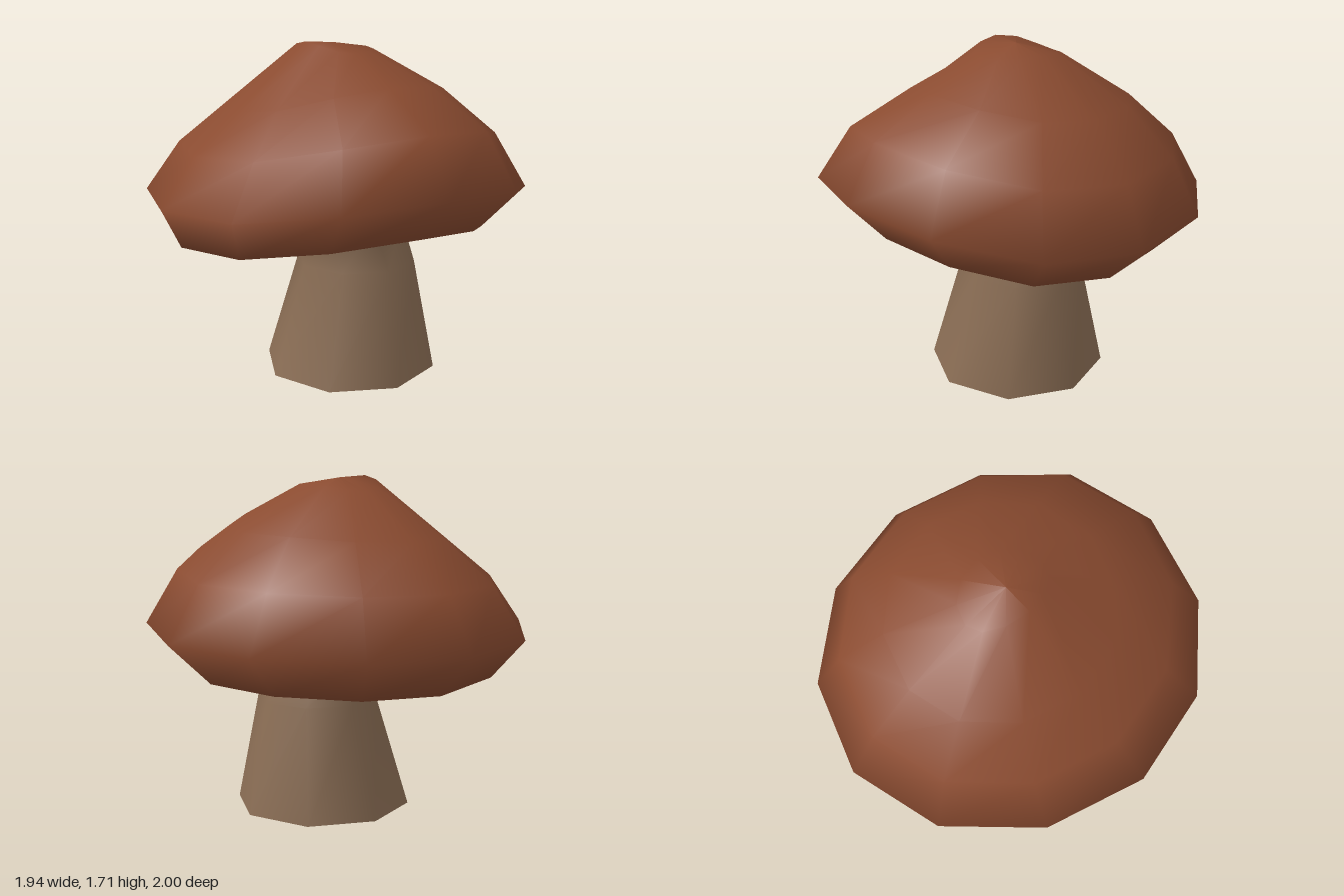
import * as THREE from 'three';

const capMat = new THREE.MeshStandardMaterial({ name: 'russet cap', color: 0x8a4b30 });
const gillMat = new THREE.MeshStandardMaterial({ name: 'grey brown gills', color: 0x7d6c59 });
const stemMat = new THREE.MeshStandardMaterial({ name: 'tan stem', color: 0x8a6d54, side: THREE.DoubleSide });

// Smooth closed-loop skin over rings of equal point count, ordered from below to above
function loft(rings) {
  const n = rings[0].length, index = [];
  for (let i = 0; i < rings.length - 1; i++) {
    for (let j = 0; j < n; j++) {
      const k = (j + 1) % n;
      const a = i * n + j, b = i * n + k, c = (i + 1) * n + k, d = (i + 1) * n + j;
      index.push(a, b, c, a, c, d);
    }
  }
  const geo = new THREE.BufferGeometry().setFromPoints(rings.flat());
  geo.setIndex(index);
  geo.computeVertexNormals();
  return geo;
}

// Lopsided ring: each side has its own [reach, height], blended around the circle
function capRing({ front, back, left, right, shift = 0 }, sides = 12) {
  return Array.from({ length: sides }, (_, j) => {
    const t = (j / sides) * Math.PI * 2, s = Math.sin(t), c = Math.cos(t);
    const fx = s > 0 ? left : right, fz = c > 0 ? front : back;
    return new THREE.Vector3(
      s * fx[0],
      c * c * fz[1] + s * s * fx[1],
      c * fz[0] + shift * s * s
    );
  });
}

function makeMesh(name, geo, mat) {
  const mesh = new THREE.Mesh(geo, mat);
  mesh.name = name;
  return mesh;
}

export function createModel() {
  const group = new THREE.Group();
  group.name = 'mushroom';

  // Cap cross-sections from the underside centre up to the crown (left is +x)
  const inner = capRing({ front: [0.3, 0.78], back: [0.3, 0.74], left: [0.3, 0.735], right: [0.3, 0.76], shift: 0.03 });
  const lower = capRing({ front: [0.8, 0.87], back: [0.79, 0.7], left: [0.75, 0.71], right: [0.87, 0.77], shift: 0.04 });
  const rings = [
    capRing({ front: [0, 0.76], back: [0, 0.76], left: [0, 0.76], right: [0, 0.76] }),
    inner,
    lower,
    capRing({ front: [1, 1.09], back: [1, 0.905], left: [0.97, 0.92], right: [0.97, 0.97], shift: 0.05 }),
    capRing({ front: [0.84, 1.36], back: [0.84, 1.18], left: [0.82, 1.2], right: [0.78, 1.2], shift: 0.02 }),
    capRing({ front: [0.52, 1.53], back: [0.59, 1.4], left: [0.58, 1.44], right: [0.53, 1.39] }),
    capRing({ front: [0.22, 1.66], back: [0.24, 1.63], left: [0.2, 1.67], right: [0.16, 1.71] }),
    capRing({ front: [0, 1.7], back: [0, 1.7], left: [0, 1.7], right: [0, 1.7] }),
  ];
  group.add(makeMesh('cap', loft(rings), capMat));

  // Gills: thin skin just below the underside, with a scalloped edge
  const steps = 12, count = 12 * steps, scallops = 22;
  const gillRing = (reach) => Array.from({ length: count }, (_, j) => {
    const k = Math.floor(j / steps), f = (j % steps) / steps, m = (k + 1) % 12;
    const wave = Math.abs(Math.sin((j / count) * Math.PI * scallops));
    const from = inner[k].clone().lerp(inner[m], f);
    const to = lower[k].clone().lerp(lower[m], f);
    const p = from.lerp(to, reach * (0.77 + 0.1 * wave));
    p.y -= 0.008;
    return p;
  });
  group.add(makeMesh('gills', loft([0, 0.5, 1].map(gillRing)), gillMat));

  // Stem: open eight-sided tube that flares at the foot and leans at the neck
  const stemRings = [
    [0.075, 0, 0.455],
    [0.11, 0.57, 0.313],
    [0.025, 0.82, 0.313],
  ].map(([cx, y, r]) => Array.from({ length: 8 }, (_, j) => {
    const t = (j / 8) * Math.PI * 2;
    return new THREE.Vector3(cx + r * Math.sin(t), y, 0.055 + r * Math.cos(t));
  }));
  group.add(makeMesh('stem', loft(stemRings), stemMat));

  return group;
}
